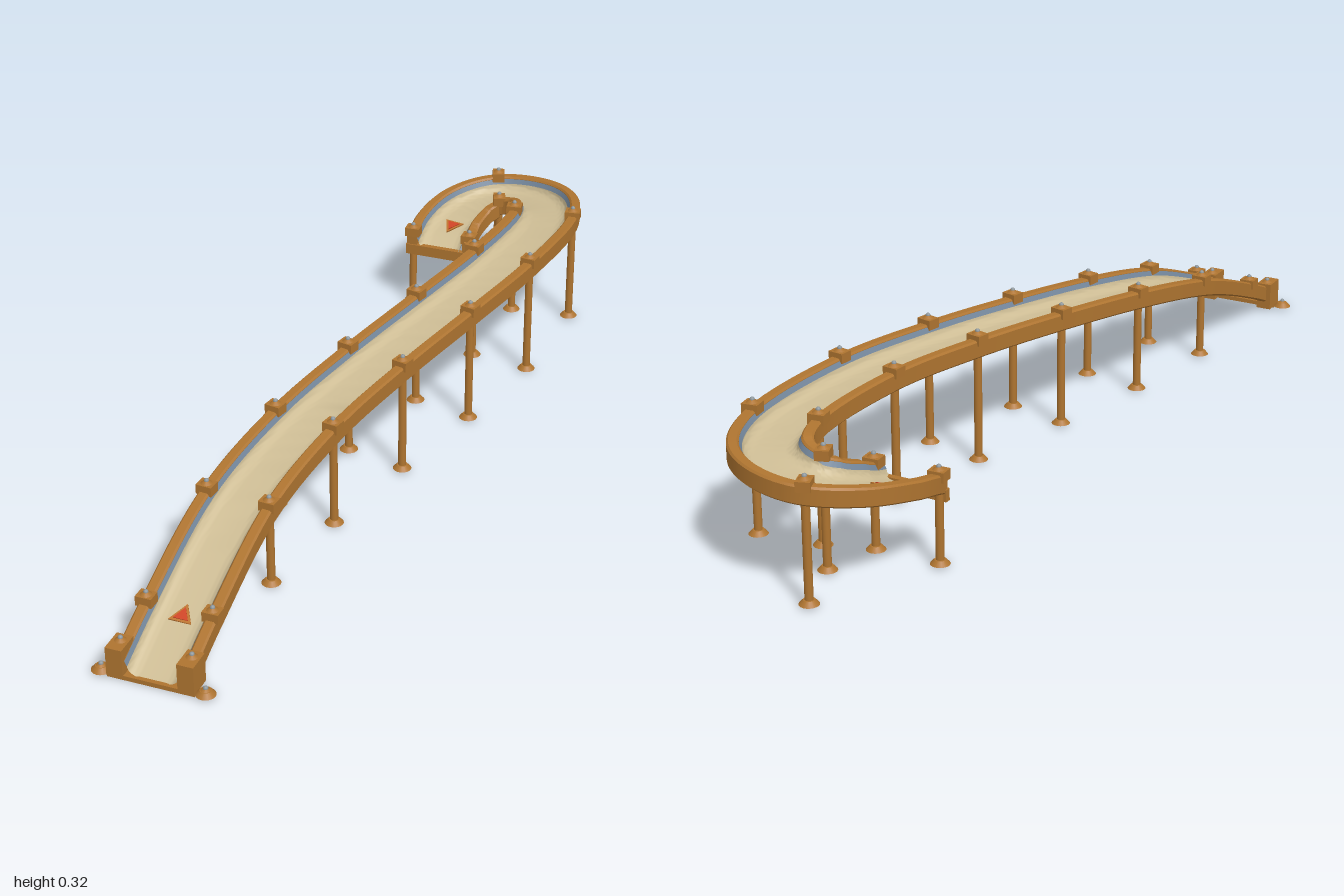
import * as THREE from 'three';
import { toCreasedNormals } from 'three/addons/utils/BufferGeometryUtils.js';

const mat = (name, color, side = THREE.FrontSide) => {
  const m = new THREE.MeshStandardMaterial({ color, side });
  m.name = name;
  return m;
};

export function createModel() {
  const model = new THREE.Group();
  model.name = 'slide';
  const wood = mat('wood', 0xae7430);
  const sand = mat('sand', 0xcebd95, THREE.DoubleSide);
  const blue = mat('blueGrey', 0x74879c, THREE.DoubleSide);
  const metal = mat('metal', 0x8e979c);
  const red = mat('red', 0xcf4526);
  const orange = mat('orange', 0xbd7430);

  // Track centre line, at the height of the rail tops
  const stations = [
    [-0.10, 0.045, 0.98], [-0.10, 0.10, 0.85], [-0.093, 0.197, 0.575], [-0.055, 0.247, 0.31],
    [0.005, 0.273, 0.045], [0.07, 0.288, -0.22], [0.124, 0.294, -0.483], [0.14, 0.284, -0.762],
    [0.105, 0.275, -0.868], [0.05, 0.267, -0.907], [-0.025, 0.257, -0.911],
    [-0.083, 0.242, -0.86], [-0.11, 0.22, -0.78], [-0.11, 0.193, -0.70],
  ];
  const path = new THREE.CatmullRomCurve3(stations.map(p => new THREE.Vector3(...p)));
  const last = stations.length - 1;
  const RAIL = 0.073, FLOOR = 0.036;

  // Position, heading and sideways direction at a (fractional) station
  const frame = (s) => {
    const u = s / last;
    const p = path.getPoint(u), t = path.getTangent(u);
    const side = new THREE.Vector3(-t.z, 0, t.x).normalize();
    return { p, t, side };
  };

  const add = (name, geo, material, x = 0, y = 0, z = 0, parent = model) => {
    const m = new THREE.Mesh(geo, material);
    m.name = name;
    m.position.set(x, y, z);
    parent.add(m);
    return m;
  };

  // Carries a [sideways, up] cross-section along the track
  const sweep = (section, closed) => {
    const steps = last * 10, n = section.length, pos = [], idx = [];
    for (let i = 0; i <= steps; i++) {
      const { p, side } = frame(i / 10);
      for (const [l, v] of section) pos.push(p.x + side.x * l, p.y + v, p.z + side.z * l);
    }
    for (let i = 0; i < steps; i++) {
      for (let j = 0; j < (closed ? n : n - 1); j++) {
        const a = i * n + j, b = i * n + (j + 1) % n;
        idx.push(a, b + n, b, a, a + n, b + n);
      }
    }
    if (closed) {
      const e = steps * n;
      for (let j = 1; j < n - 1; j++) idx.push(0, j, j + 1, e, e + j + 1, e + j);
    }
    const g = new THREE.BufferGeometry();
    g.setAttribute('position', new THREE.Float32BufferAttribute(pos, 3));
    g.setIndex(idx);
    return toCreasedNormals(g, 0.7);
  };

  // Trough: flat floor with rounded corners
  const trough = [];
  for (let i = 0; i <= 8; i++) {
    const a = (i / 8) * Math.PI / 2;
    trough.push([0.028 + 0.027 * Math.sin(a), -FLOOR + 0.02 * (1 - Math.cos(a))]);
  }
  const mirrored = trough.map(([l, v]) => [-l, v]).reverse();
  add('trough', sweep([...mirrored, ...trough], false), sand);

  // Rails with bevelled edges, and the liners inside them
  const w = 0.0125, h = 0.042, b = 0.004;
  const railSection = [
    [w, -h + b], [w, -b], [w - b, 0], [b - w, 0], [-w, -b], [-w, -h + b], [b - w, -h], [w - b, -h],
  ];
  for (const k of [-1, 1]) {
    const label = k < 0 ? 'inner' : 'outer';
    add(label + 'Rail', sweep(railSection.map(([l, v]) => [l + k * RAIL, v]), true), wood);
    add(label + 'Liner', sweep([[k * 0.055, -0.016], [k * 0.0615, -0.003]], false), blue);
  }

  // Bolt: wooden cone with a metal head
  const coneGeo = new THREE.CylinderGeometry(0.005, 0.013, 0.006, 12);
  const headGeo = new THREE.SphereGeometry(0.0055, 12, 8);
  const bolt = (x, y, z, parent) => {
    add('boltWasher', coneGeo, wood, x, y + 0.003, z, parent);
    add('boltHead', headGeo, metal, x, y + 0.006, z, parent);
  };

  // Clamps on the rails, with a post and foot below each
  const clampGeo = new THREE.BoxGeometry(0.036, 0.022, 0.03);
  const footGeo = new THREE.CylinderGeometry(0.012, 0.021, 0.01, 20);
  for (const s of [1, 2, 3, 4, 5, 6, 7, 10, last - 0.2]) {
    const { p, side } = frame(s);
    for (const k of [-1, 1]) {
      const support = new THREE.Group();
      support.name = 'support';
      support.position.set(p.x + side.x * k * RAIL, 0, p.z + side.z * k * RAIL);
      support.rotation.y = Math.atan2(-side.z, side.x);
      model.add(support);
      add('clamp', clampGeo, wood, 0, p.y, 0, support);
      bolt(0, p.y + 0.011, 0, support);
      if (s === 1) continue;
      const top = p.y - 0.03;
      add('post', new THREE.CylinderGeometry(0.009, 0.009, top - 0.008, 14), wood, 0, (top + 0.008) / 2, 0, support);
      add('foot', footGeo, wood, 0, 0.009, 0, support);
    }
  }

  // Low end: corner blocks, ground plate and bolted feet
  add('groundPlate', new THREE.BoxGeometry(0.19, 0.01, 0.025), wood, -0.102, 0.005, 0.975);
  for (const k of [-1, 1]) {
    const x = -0.102 + k * 0.077;
    add('cornerBlock', new THREE.BoxGeometry(0.036, 0.066, 0.054), wood, x, 0.037, 0.962);
    bolt(x, 0.07, 0.955, model);
    add('anchorFoot', footGeo, wood, -0.102 + k * 0.113, 0.009, 0.975);
    bolt(-0.102 + k * 0.113, 0.012, 0.975, model);
  }

  // High end: cross beam under the rails
  add('crossBeam', new THREE.BoxGeometry(0.176, 0.026, 0.014), wood, -0.11, 0.153, -0.704);

  // Direction arrows lying on the trough floor
  for (const s of [1.05, last - 1.15]) {
    const { p, t, side } = frame(s);
    const up = new THREE.Vector3().crossVectors(side, t);
    const arrow = new THREE.Group();
    arrow.name = 'arrow';
    arrow.setRotationFromMatrix(new THREE.Matrix4().makeBasis(side, up, t.clone().negate()));
    arrow.position.set(p.x, p.y - FLOOR, p.z);
    model.add(arrow);
    const triangle = r => new THREE.CylinderGeometry(r, r, 0.003, 3).rotateY(Math.PI);
    add('arrowBorder', triangle(0.029), orange, 0, 0.002, 0, arrow);
    add('arrowFace', triangle(0.019), red, 0, 0.004, 0, arrow);
  }
  return model;
}
